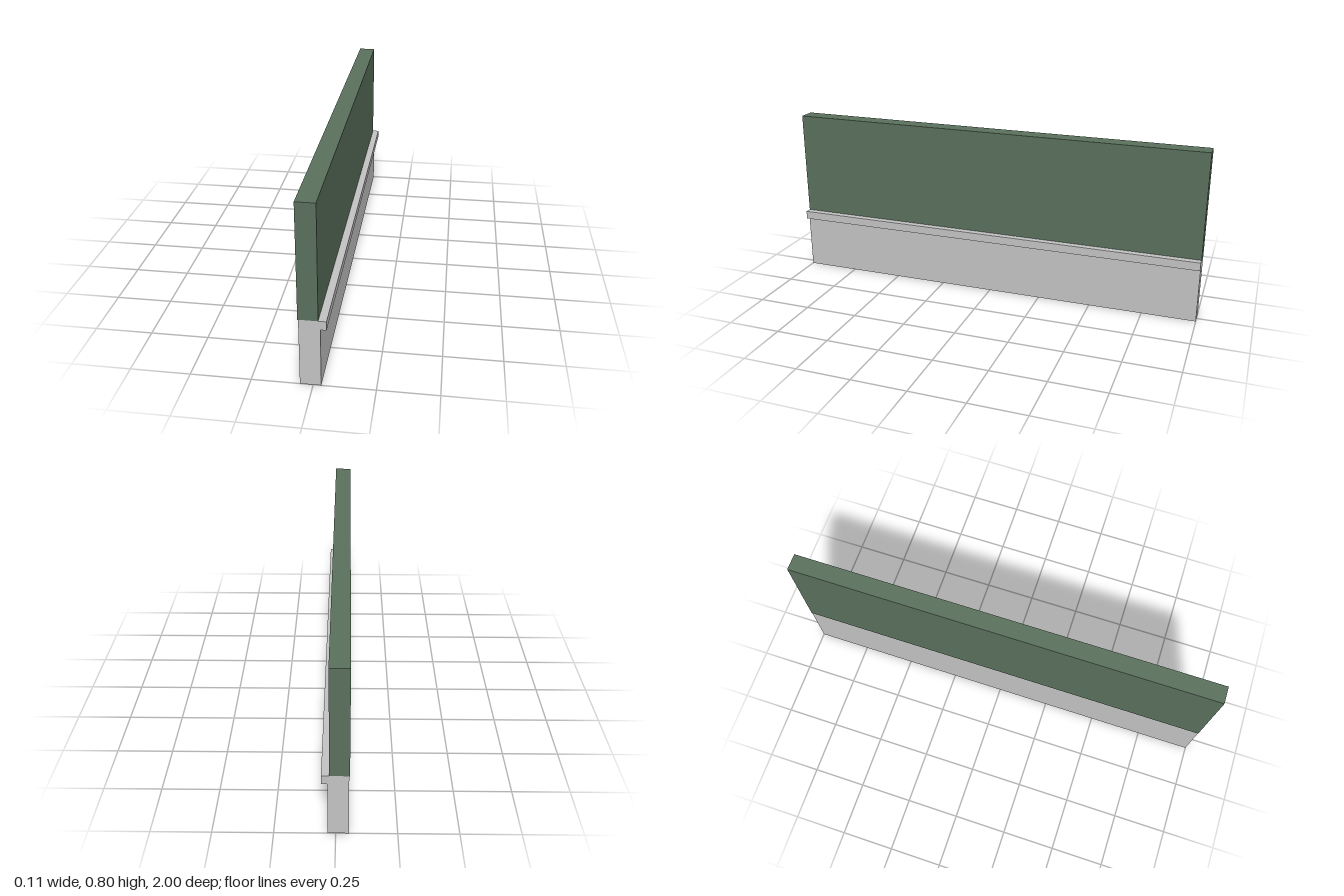
import * as THREE from 'three';

export function createModel() {
  const model = new THREE.Group();
  const green = new THREE.MeshStandardMaterial({ color: 0x5a705c });
  green.name = 'muted green';
  const grey = new THREE.MeshStandardMaterial({ color: 0xc3c3c3 });
  grey.name = 'light grey';
  const length = 2;

  // Lower wall with a projecting ledge on its left side, as one profile
  const profile = new THREE.Shape([
    [-0.053, 0], [0.032, 0], [0.032, 0.262], [0.056, 0.262], [0.056, 0.301], [-0.053, 0.301],
  ].map(([x, y]) => new THREE.Vector2(x, y)));
  const baseGeometry = new THREE.ExtrudeGeometry(profile, { depth: length, bevelEnabled: false });
  baseGeometry.translate(0, 0, -length / 2);
  const base = new THREE.Mesh(baseGeometry, grey);
  base.name = 'lowerWallWithLedge';
  model.add(base);

  // Upper wall panel
  const panel = new THREE.Mesh(new THREE.BoxGeometry(0.08, 0.499, length), green);
  panel.name = 'upperWall';
  panel.position.set(-0.016, 0.5495, 0);
  model.add(panel);

  return model;
}
